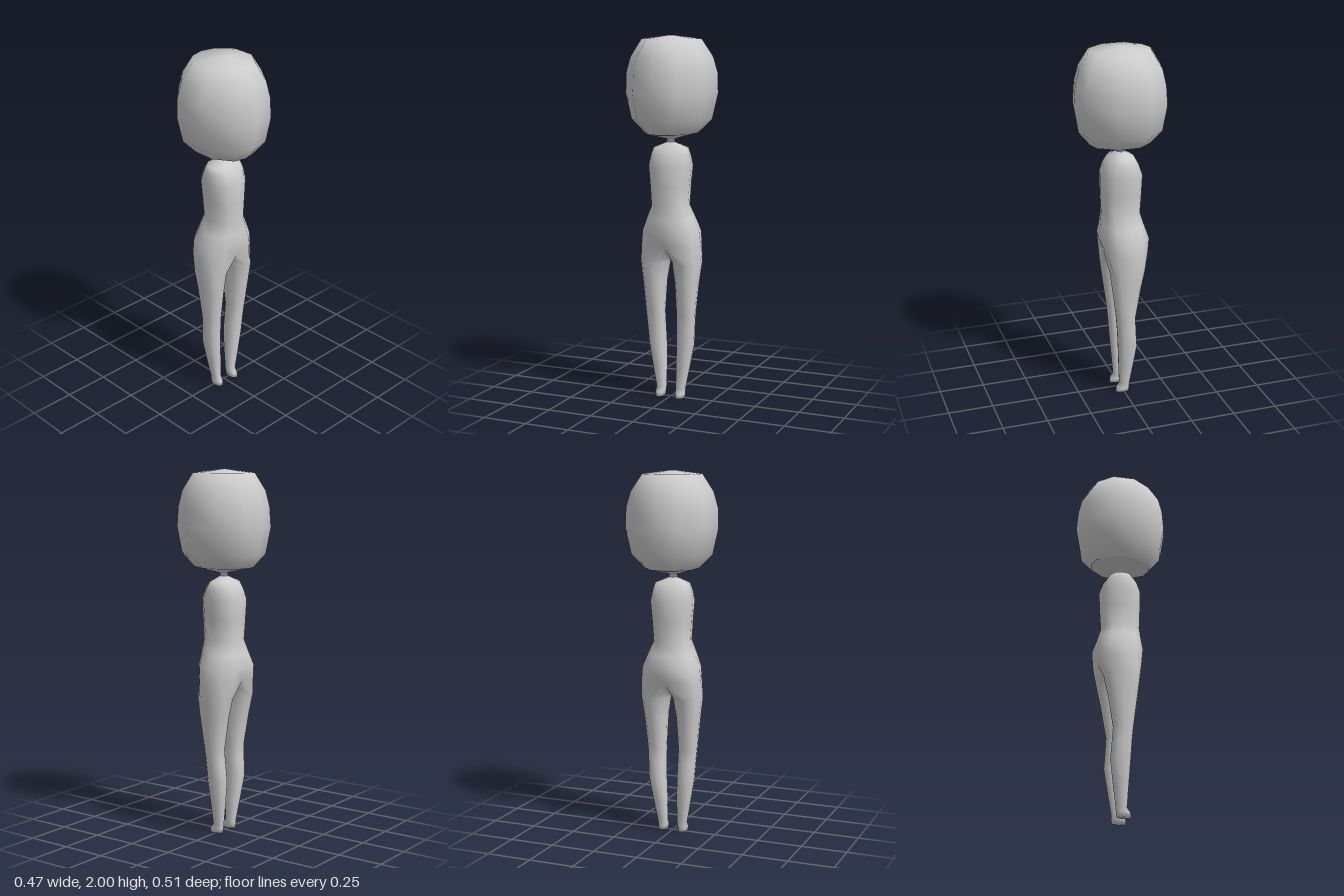
import * as THREE from 'three';
import { mergeVertices, mergeGeometries } from 'three/addons/utils/BufferGeometryUtils.js';

const material = new THREE.MeshStandardMaterial({ color: 0xcccccc });

// Skins a stack of equal-length rings, listed from top to bottom
function loft(rings, capTop = false, capBottom = false) {
  const n = rings[0].length, pos = rings.flat(2), idx = [];
  for (let i = 0; i < rings.length - 1; i++) {
    for (let k = 0; k < n; k++) {
      const a = i * n + k, b = i * n + (k + 1) % n;
      idx.push(a, a + n, b + n, a, b + n, b);
    }
  }
  const cap = (i, flip) => {
    const centre = pos.length / 3;
    for (let c = 0; c < 3; c++) pos.push(rings[i].reduce((s, p) => s + p[c], 0) / n);
    for (let k = 0; k < n; k++) {
      const a = i * n + k, b = i * n + (k + 1) % n;
      idx.push(centre, flip ? b : a, flip ? a : b);
    }
  };
  if (capTop) cap(0, false);
  if (capBottom) cap(rings.length - 1, true);
  const g = new THREE.BufferGeometry();
  g.setAttribute('position', new THREE.Float32BufferAttribute(pos, 3));
  g.setIndex(idx);
  return g;
}

function addMesh(group, name, geometry) {
  geometry.computeVertexNormals();
  const mesh = new THREE.Mesh(geometry, material);
  mesh.name = name;
  group.add(mesh);
}

// Rounded body ring between x0..x1 and back..front, starting at the front
const SIDES = 12;
function ring(y, x0, x1, front, back) {
  const soft = v => Math.sign(v) * Math.abs(v) ** 0.88;
  return Array.from({ length: SIDES }, (_, k) => {
    const t = k / SIDES * Math.PI * 2;
    return [(x0 + x1) / 2 + (x1 - x0) / 2 * soft(Math.sin(t)), y,
      (front + back) / 2 + (front - back) / 2 * soft(Math.cos(t))];
  });
}

// Ten-sided head ring
const HEAD = [[0, 1], [0.52, 0.89], [1, 0.3], [1, -0.42], [0.52, -0.88],
  [0, -1], [-0.52, -0.88], [-1, -0.42], [-1, 0.3], [-0.52, 0.89]];
const headRing = ([y, w, d]) => HEAD.map(([x, z]) => [x * w, y, z * d]);

export function createModel() {
  const group = new THREE.Group();
  group.name = 'figure';

  // Head: y, half width, half depth
  const headRings = [[2.0, 0.01, 0.01], [1.98, 0.15, 0.168], [1.885, 0.208, 0.225], [1.8, 0.231, 0.245],
    [1.69, 0.233, 0.254], [1.55, 0.203, 0.23], [1.475, 0.132, 0.167]].map(headRing);
  addMesh(group, 'head', loft(headRings, true));

  // Underside of the head running into the neck
  addMesh(group, 'neck', loft([[1.475, 0.132, 0.167], [1.443, 0.022, 0.022],
    [1.41, 0.022, 0.022]].map(headRing)));

  // Torso: y, half width, front, back
  const torso = [[1.428, 0.02, 0.02, -0.02], [1.398, 0.098, 0.065, -0.075], [1.36, 0.109, 0.092, -0.098],
    [1.3, 0.119, 0.113, -0.12], [1.19, 0.108, 0.112, -0.116], [1.08, 0.101, 0.108, -0.109],
    [1.01, 0.134, 0.114, -0.13], [0.94, 0.162, 0.124, -0.155], [0.865, 0.171, 0.115, -0.147]]
    .map(([y, w, f, b]) => ring(y, -w, w, f, b));
  const hip = torso[torso.length - 1];
  hip[0][2] *= 0.85; // soft cleft where the legs divide
  hip[6][2] *= 0.85;

  // Leg top: outer half of the hip ring closed by the crotch curve
  const top = hip.map((p, k) => {
    if (k <= 6) return p;
    const t = (k - 6) / 6;
    return [0, 0.865 - 0.075 * Math.sin(t * Math.PI), THREE.MathUtils.lerp(hip[6][2], hip[0][2], t)];
  });

  // Leg: y, inner x, outer x, front, back
  const leg = [top, ...[[0.765, 0.018, 0.17, 0.09, -0.111], [0.66, 0.033, 0.158, 0.076, -0.088],
    [0.48, 0.04, 0.143, 0.052, -0.058], [0.4, 0.038, 0.137, 0.045, -0.063], [0.3, 0.036, 0.13, 0.039, -0.071],
    [0.17, 0.031, 0.108, 0.031, -0.053], [0.05, 0.031, 0.085, 0.024, -0.036],
    [0.025, 0.032, 0.086, 0.042, -0.035], [0, 0.036, 0.083, 0.046, -0.033]].map(r => ring(...r))];
  const mirrored = leg.map(r => r.map(([x, y, z]) => [-x, y, z]).reverse());

  // Torso and both legs are welded into one smooth skin
  const body = mergeGeometries([loft(torso, true), loft(leg, false, true), loft(mirrored, false, true)]);
  addMesh(group, 'body', mergeVertices(body, 1e-4));
  return group;
}
